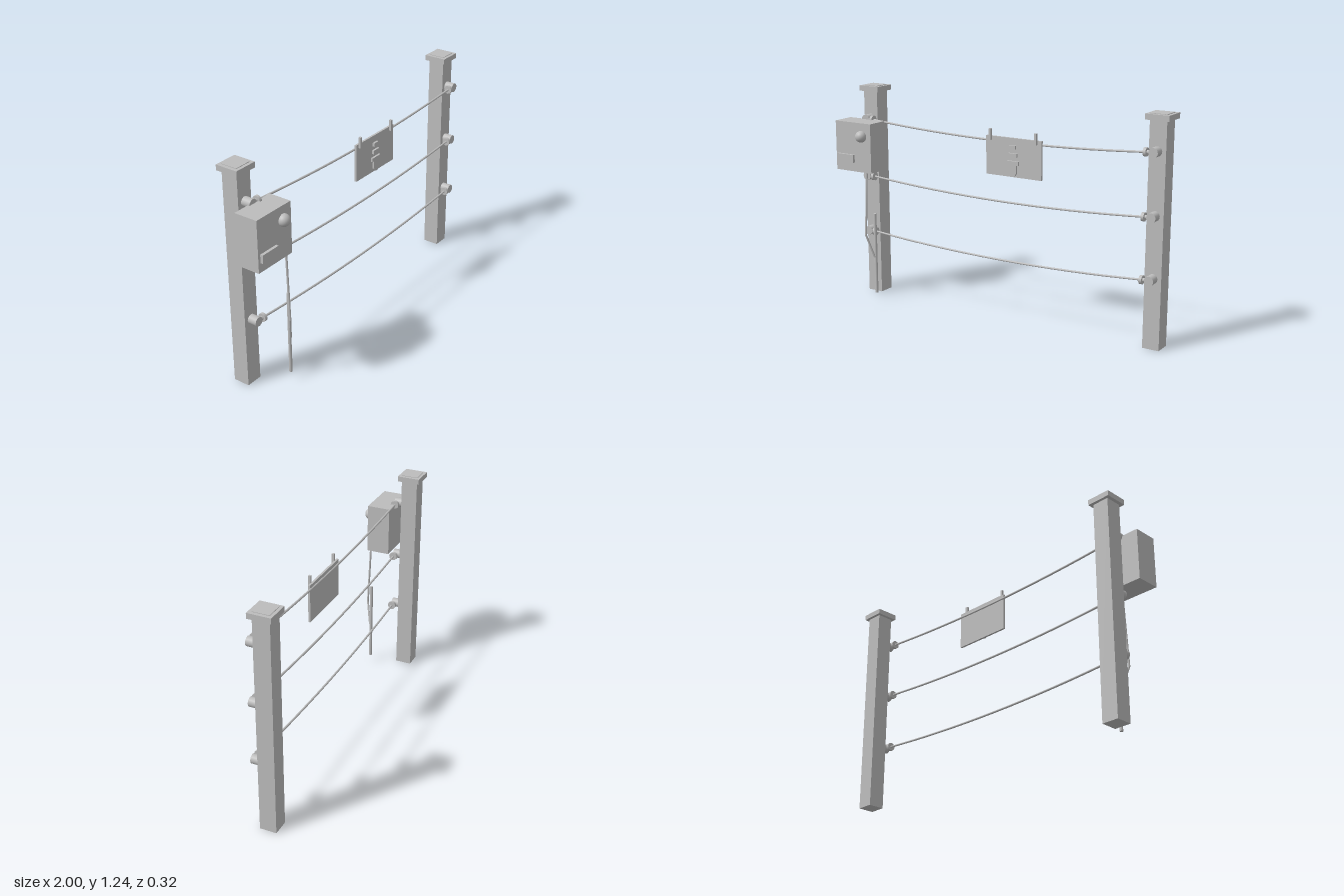
import * as THREE from 'three';

export function createModel() {
  const model = new THREE.Group();
  const grey = new THREE.MeshStandardMaterial({ color: 0xbcbcbc });
  grey.name = 'plain grey';

  const add = (name, geometry, x = 0, y = 0, z = 0) => {
    const mesh = new THREE.Mesh(geometry, grey);
    mesh.name = name;
    mesh.position.set(x, y, z);
    model.add(mesh);
    return mesh;
  };
  // Box given by its limits on each axis
  const block = (name, x0, x1, y0, y1, z0, z1) =>
    add(name, new THREE.BoxGeometry(x1 - x0, y1 - y0, z1 - z0),
      (x0 + x1) / 2, (y0 + y1) / 2, (z0 + z1) / 2);
  // Round bar between two points
  const bar = (name, a, b, radius, sides = 12) => {
    const dir = b.clone().sub(a);
    const mid = a.clone().add(b).multiplyScalar(0.5);
    const mesh = add(name, new THREE.CylinderGeometry(radius, radius, dir.length(), sides), mid.x, mid.y, mid.z);
    mesh.quaternion.setFromUnitVectors(new THREE.Vector3(0, 1, 0), dir.normalize());
    return mesh;
  };
  const v = (x, y, z) => new THREE.Vector3(x, y, z);

  const leftX = 0.93, rightX = -0.88, wireZ = -0.012;
  const wireHeights = [1.05, 0.717, 0.385];

  // Posts with caps, insulators and wire clamps facing the span
  for (const [x, inward] of [[leftX, -1], [rightX, 1]]) {
    block('post', x - 0.047, x + 0.047, 0, 1.24, -0.145, -0.052);
    block('postCap', x - 0.066, x + 0.066, 1.207, 1.237, -0.162, -0.034);
    for (const y of wireHeights) {
      bar('insulator', v(x, y, -0.055), v(x, y, 0), 0.026, 16);
      const cx = x + inward * 0.044;
      bar('wireClamp', v(cx - 0.008, y, wireZ), v(cx + 0.008, y, wireZ), 0.024, 12);
      bar('clampStem', v(x, y, wireZ), v(cx, y, wireZ), 0.011, 8);
    }
  }

  // Sagging wires
  for (const y of wireHeights) {
    const points = [];
    for (let i = 0; i <= 8; i++) {
      const t = i / 8;
      const x = THREE.MathUtils.lerp(rightX + 0.04, leftX - 0.04, t);
      points.push(v(x, y - 0.034 * 4 * t * (1 - t), wireZ));
    }
    add('wire', new THREE.TubeGeometry(new THREE.CatmullRomCurve3(points), 16, 0.006, 8));
  }

  // Hanging sign with hooks and raised symbol
  block('signPlate', -0.05, 0.295, 0.83, 1.042, -0.011, 0.001);
  for (const x of [-0.021, 0.262]) block('signHook', x - 0.007, x + 0.007, 1.02, 1.082, 0, 0.013);
  [[0.1, 0.138, 0.983, 1.003], [0.094, 0.148, 0.94, 0.961], [0.084, 0.158, 0.897, 0.919]]
    .forEach(([x0, x1, y0, y1]) => block('symbolBar', x0, x1, y0, y1, 0, 0.013));
  const drop = new THREE.Shape();
  drop.moveTo(0.024, 0.04);
  drop.lineTo(-0.024, 0.04);
  drop.lineTo(-0.024, 0);
  drop.absarc(0, 0, 0.024, Math.PI, Math.PI * 2, false);
  drop.closePath();
  add('symbolDrop', new THREE.ExtrudeGeometry(drop, { depth: 0.013, bevelEnabled: false, curveSegments: 10 }), 0.122, 0.859, 0);

  // Energizer box with lamp and label plate
  block('controlBox', -1, -0.75, 0.766, 1.05, -0.012, 0.122);
  add('lamp', new THREE.SphereGeometry(0.033, 24, 16), -0.812, 0.975, 0.13);
  block('labelPlate', -0.985, -0.868, 0.818, 0.864, 0.12, 0.138);

  // Grounding rod and its lead
  bar('groundRod', v(-0.756, 0.05, 0.092), v(-0.756, 0.526, 0.092), 0.009, 12);
  const lead = [v(-0.788, 0.79, 0.114), v(-0.794, 0.4, 0.131), v(-0.758, 0.265, 0.1)];
  bar('groundLeadUpper', lead[0], lead[1], 0.006, 8);
  bar('groundLeadLower', lead[1], lead[2], 0.006, 8);
  add('groundLeadBend', new THREE.SphereGeometry(0.006, 8, 6), lead[1].x, lead[1].y, lead[1].z);

  return model;
}
